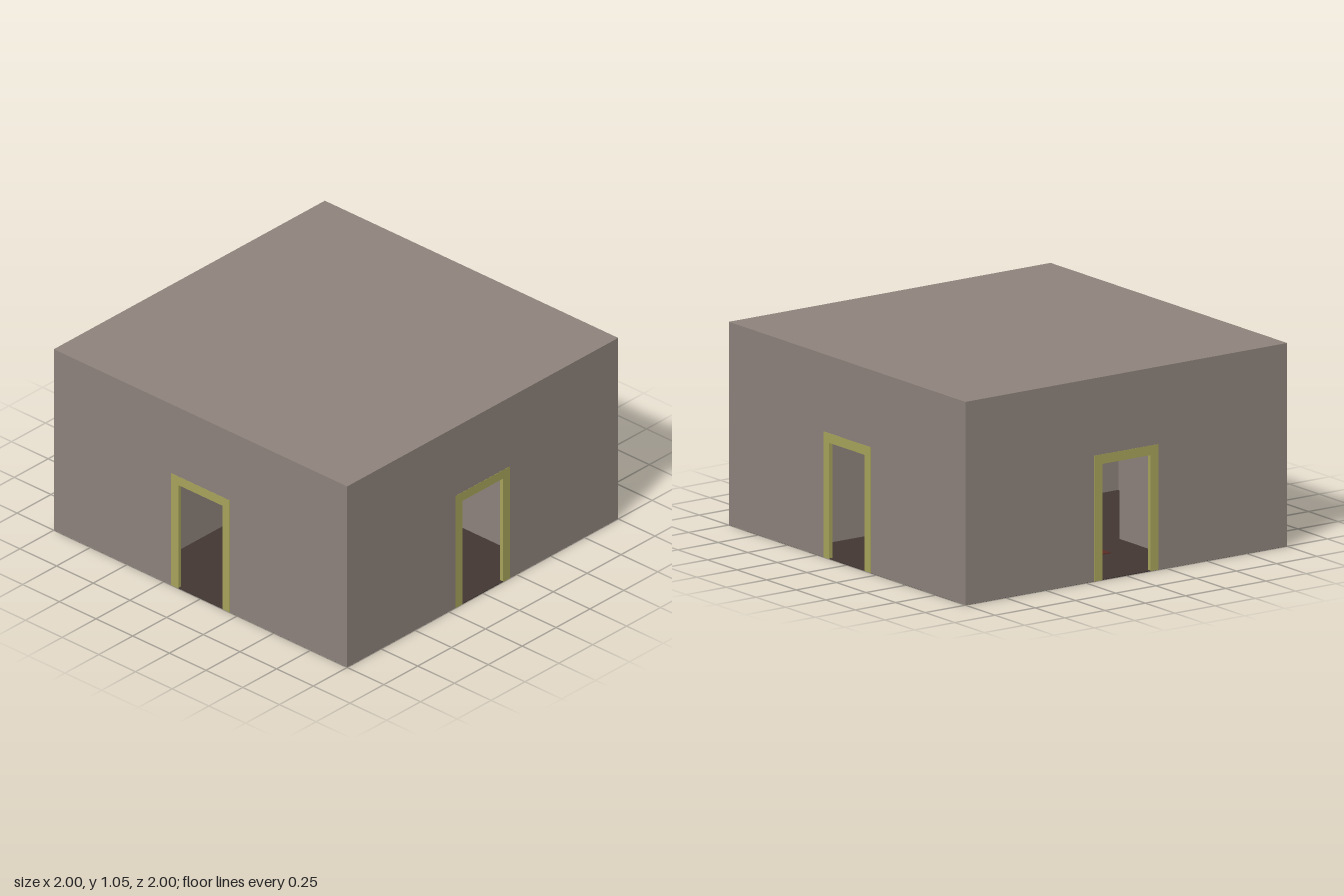
import * as THREE from 'three';

const wallMat = new THREE.MeshStandardMaterial({ color: 0x8e837c });
const frameMat = new THREE.MeshStandardMaterial({ color: 0xa8a45c });
const floorMat = new THREE.MeshStandardMaterial({ color: 0x423632 });
const rugMat = new THREE.MeshStandardMaterial({ color: 0x5a2d25 });

const HEIGHT = 1.05, WALL = 0.02, ROOF = 0.05, CORRIDOR = 0.4;

// Upside-down U: a rectangle with a doorway cut out of its lower edge
function archway(halfWidth, height, doorHalf, doorHeight, depth) {
  const points = [
    [-halfWidth, 0], [-doorHalf, 0], [-doorHalf, doorHeight], [doorHalf, doorHeight],
    [doorHalf, 0], [halfWidth, 0], [halfWidth, height], [-halfWidth, height],
  ].map(([x, y]) => new THREE.Vector2(x, y));
  return new THREE.ExtrudeGeometry(new THREE.Shape(points), { depth, bevelEnabled: false });
}

function add(parent, name, geometry, material, x = 0, y = 0, z = 0) {
  const mesh = new THREE.Mesh(geometry, material);
  mesh.name = name;
  mesh.position.set(x, y, z);
  parent.add(mesh);
  return mesh;
}

export function createModel() {
  const model = new THREE.Group();
  model.name = 'crossroadsRoom';

  // Four identical sides, each a thin wall with a framed doorway
  const wallGeo = archway(1, HEIGHT - ROOF, 0.2, 0.65, WALL);
  const frameGeo = archway(0.2, 0.65, 0.15, 0.6, WALL + 0.001);
  for (let i = 0; i < 4; i++) {
    const side = new THREE.Group();
    side.name = 'side';
    side.rotation.y = i * Math.PI / 2;
    add(side, 'wall', wallGeo, wallMat, 0, 0, 1 - WALL);
    add(side, 'doorFrame', frameGeo, frameMat, 0, 0, 1 - WALL);
    model.add(side);
  }

  // Corner blocks leave a cross of two corridors between the doors
  const size = 1 - WALL - CORRIDOR;
  const blockGeo = new THREE.BoxGeometry(size, HEIGHT - ROOF - 0.004, size);
  const middle = CORRIDOR + size / 2;
  for (const sx of [-1, 1]) for (const sz of [-1, 1]) {
    add(model, 'cornerBlock', blockGeo, wallMat, sx * middle, (HEIGHT - ROOF) / 2 + 0.002, sz * middle);
  }

  // Roof, floor and the rug in the middle
  add(model, 'roof', new THREE.BoxGeometry(2, ROOF, 2), wallMat, 0, HEIGHT - ROOF / 2, 0);
  add(model, 'floor', new THREE.BoxGeometry(1.998, 0.004, 1.998), floorMat, 0, 0.001, 0);
  add(model, 'rug', new THREE.BoxGeometry(1.2, 0.004, 0.4), rugMat, 0, 0.004, 0);

  // Lift so the underside of the floor rests on the ground
  model.children.forEach((part) => { part.position.y += 0.001; });
  return model;
}
